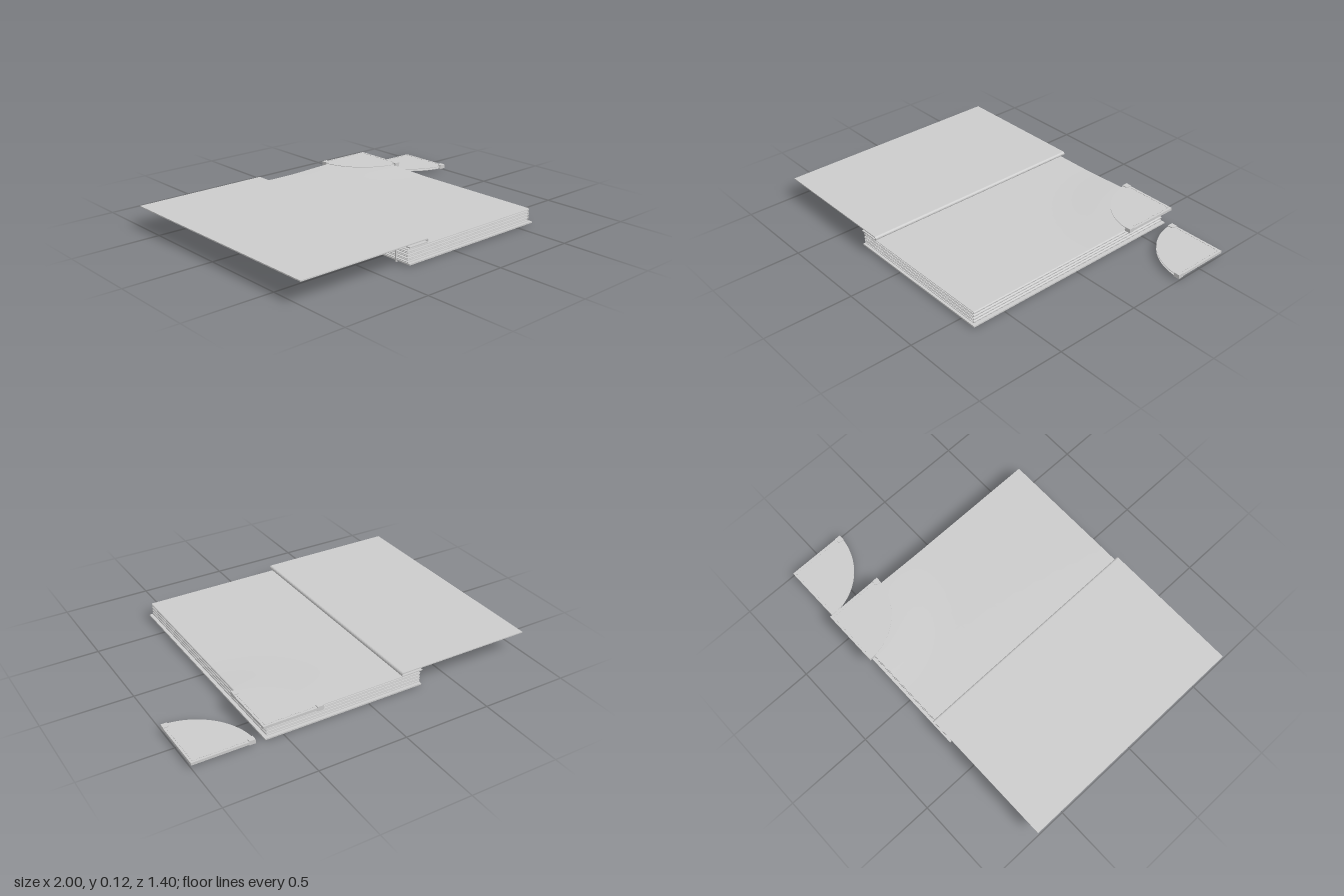
import * as THREE from 'three';

const mat = new THREE.MeshStandardMaterial({ color: 0xcccccc });
const thinMat = new THREE.MeshStandardMaterial({ color: 0xcccccc, side: THREE.DoubleSide });

function add(parent, name, geo, material = mat, x = 0, y = 0, z = 0) {
  const m = new THREE.Mesh(geo, material);
  m.name = name;
  m.position.set(x, y, z);
  parent.add(m);
  return m;
}

function box(parent, name, x0, x1, y0, y1, z0, z1) {
  return add(parent, name, new THREE.BoxGeometry(x1 - x0, y1 - y0, z1 - z0), mat,
    (x0 + x1) / 2, (y0 + y1) / 2, (z0 + z1) / 2);
}

// Bent sheet: a thickened path in x and y, extruded from z0 to z1
function bentSheet(pts, t, z0, z1) {
  const v = pts.map(p => new THREE.Vector2(...p));
  const side = s => v.map((p, i) => {
    const d = v[Math.min(i + 1, v.length - 1)].clone().sub(v[Math.max(i - 1, 0)]).normalize();
    return new THREE.Vector2(p.x - d.y * s, p.y + d.x * s);
  });
  const shape = new THREE.Shape([...side(t / 2), ...side(-t / 2).reverse()]);
  return new THREE.ExtrudeGeometry(shape, { depth: z1 - z0, bevelEnabled: false }).translate(0, 0, z0);
}

// U-shaped path, folded at its right end
function foldPath(leftLow, leftHigh, right, y0, y1) {
  const r = (y1 - y0) / 2, pts = [[leftLow, y0]];
  for (let i = 0; i <= 8; i++) {
    const a = -Math.PI / 2 + Math.PI * i / 8;
    pts.push([right - r + r * Math.cos(a), y0 + r + r * Math.sin(a)]);
  }
  pts.push([leftHigh, y1]);
  return pts;
}

// Quarter-round corner pocket; origin at the outer corner, spreading to -x and +z
function cornerPocket(name, r) {
  const g = new THREE.Group();
  g.name = name;
  const shape = new THREE.Shape();
  shape.moveTo(0, 0);
  shape.lineTo(0, -r);
  shape.absarc(0, 0, r, -Math.PI / 2, -Math.PI, true);
  shape.closePath();
  for (const [label, y] of [['lowerPlate', 0.004], ['upperPlate', 0.016]]) {
    const geo = new THREE.ExtrudeGeometry(shape, { depth: 0.003, bevelEnabled: false, curveSegments: 32 });
    add(g, label, geo.rotateX(-Math.PI / 2), mat, 0, y, 0);
  }
  box(g, 'backWall', -r, 0, 0.004, 0.019, 0, 0.005);
  box(g, 'sideWall', -0.005, 0, 0.004, 0.019, 0, r);
  // Rounded reinforcing tabs at both pocket ends
  const tab = new THREE.Shape();
  tab.moveTo(0, 0);
  tab.lineTo(0.034, 0);
  tab.lineTo(0.034, -0.018);
  tab.absarc(0.018, -0.018, 0.016, 0, -Math.PI / 2, true);
  tab.lineTo(0, -0.034);
  tab.closePath();
  const tabGeo = new THREE.ExtrudeGeometry(tab, { depth: 0.024, bevelEnabled: false }).rotateX(-Math.PI / 2);
  add(g, 'backTab', tabGeo, mat, -r, 0, 0);
  add(g, 'sideTab', tabGeo.clone().rotateY(Math.PI), mat, 0, 0, r);
  // Stitches along both straight edges
  const n = 14, step = (r - 0.07) / n;
  for (let i = 0; i <= n; i++) {
    const s = 0.018 + i * step;
    for (const y of [0.003, 0.0195]) {
      box(g, 'backStitch', -s - 0.006, -s + 0.006, y - 0.0015, y + 0.0015, 0.012, 0.016);
      box(g, 'sideStitch', -0.016, -0.012, y - 0.0015, y + 0.0015, s - 0.006, s + 0.006);
    }
  }
  return g;
}

export function createModel() {
  const model = new THREE.Group();
  model.name = 'stitchedBook';
  const spineX = -0.325, holeX = -0.24, coverZ = [-0.68, 0.7], pageZ = [-0.665, 0.688];

  // Covers: the front one is folded back open
  box(model, 'backCover', spineX, 0.605, 0.008, 0.016, ...coverZ);
  add(model, 'frontCover', bentSheet(foldPath(spineX, -1, -0.2, 0.1, 0.117), 0.006, ...coverZ));

  // Leaves folded at the fore edge
  const leaves = 4, pitch = 0.018;
  for (let i = 0; i < leaves; i++) {
    const y = 0.021 + i * pitch;
    add(model, 'foldedLeaf', bentSheet(foldPath(spineX, spineX, 0.59, y, y + 0.011), 0.003, ...pageZ));
  }

  // Top page, lifted toward its back corner
  const page = new THREE.PlaneGeometry(0.59 - spineX, pageZ[1] - pageZ[0], 32, 32).rotateX(-Math.PI / 2);
  page.translate((0.59 + spineX) / 2, 0.0915, (pageZ[0] + pageZ[1]) / 2);
  const p = page.attributes.position;
  for (let i = 0; i < p.count; i++) {
    const d = Math.hypot(0.59 - p.getX(i), p.getZ(i) - pageZ[0]);
    p.setY(i, p.getY(i) + 0.0105 * (1 - THREE.MathUtils.smoothstep(d, 0.25, 0.6)));
  }
  page.computeVertexNormals();
  add(model, 'topPage', page, thinMat);

  // Binding thread: loops round the spine, joined by runs along the holes
  const thread = new THREE.Group();
  thread.name = 'bindingThread';
  model.add(thread);
  const t = 0.004, z0 = -0.575, z1 = 0.605, loops = 8;
  for (let i = 0; i < loops; i++) {
    const z = z0 + (z1 - z0) * i / (loops - 1), a = z - t, b = z + t;
    box(thread, 'lowerThread', spineX - t, holeX + t, 0.002, 0.008, a, b);
    box(thread, 'upperThread', spineX - t, holeX + t, 0.103, 0.108, a, b);
    box(thread, 'spineThread', spineX - t - 0.001, spineX, 0.002, 0.108, a, b);
    box(thread, 'holeThread', holeX - t, holeX + t, 0, 0.108, a, b);
  }
  box(thread, 'lowerRun', holeX - t, holeX + t, 0, 0.008, z0, z1);
  box(thread, 'upperRun', holeX - t, holeX + t, 0.103, 0.108, z0, z1);

  // Corner protectors: one fitted on the page, one lying loose
  const fitted = cornerPocket('fittedCorner', 0.337);
  fitted.position.set(0.626, 0.091, -0.703);
  const loose = cornerPocket('looseCorner', 0.343);
  loose.position.set(1, 0.011, -0.68);
  model.add(fitted, loose);

  return model;
}
